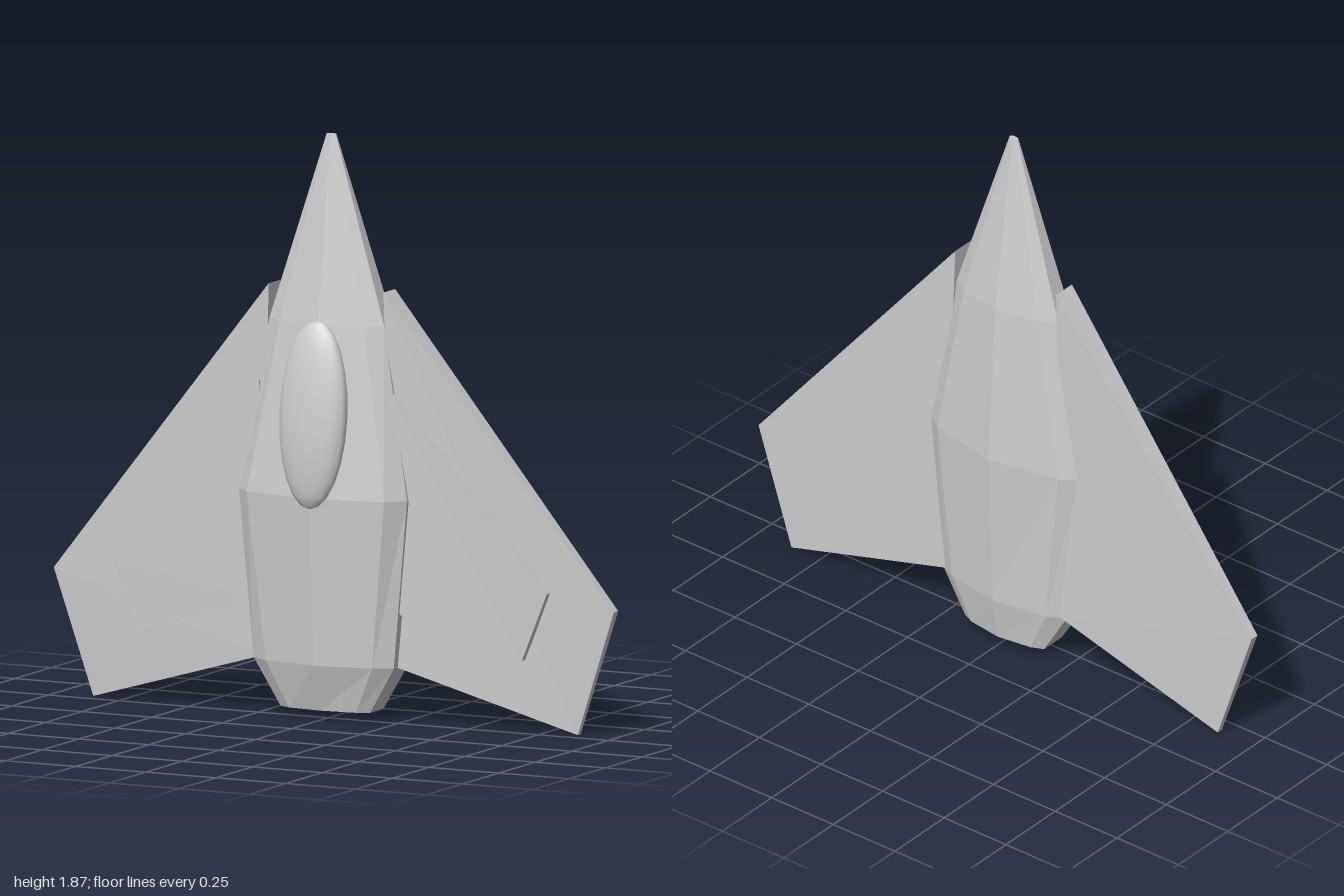
import * as THREE from 'three';

const material = () => new THREE.MeshStandardMaterial({ color: 0xcccccc, flatShading: true });

// Closed solid lofted through rings of [x, y, z] points (counter-clockwise seen from the end of the loft)
function loft(rings, name) {
  const pos = [];
  const tri = (a, b, c) => pos.push(...a, ...b, ...c);
  const n = rings[0].length;
  for (let r = 0; r < rings.length - 1; r++) {
    for (let i = 0; i < n; i++) {
      const j = (i + 1) % n;
      const a = rings[r][i], b = rings[r][j], c = rings[r + 1][j], d = rings[r + 1][i];
      tri(a, b, c);
      tri(a, c, d);
    }
  }
  const first = rings[0], last = rings[rings.length - 1];
  for (let i = 1; i < n - 1; i++) {
    tri(first[0], first[i + 1], first[i]);
    tri(last[0], last[i], last[i + 1]);
  }
  const geometry = new THREE.BufferGeometry();
  geometry.setAttribute('position', new THREE.Float32BufferAttribute(pos, 3));
  geometry.computeVertexNormals();
  const mesh = new THREE.Mesh(geometry, material());
  mesh.name = name;
  return mesh;
}

// Ten-sided hull section: half width, corner half width, then depths from front ridge to back ridge
function hullRing([y, w, c, front, frontCorner, frontSide, backSide, backCorner, back]) {
  const half = [[c, frontCorner], [w, frontSide], [w, backSide], [c, backCorner]];
  const outline = [
    [0, front], ...half,
    [0, back], ...half.slice().reverse().map(([x, z]) => [-x, z]),
  ];
  return outline.map(([x, z]) => [x, y, z]);
}

// Tapered slab from corners [x, y, back, front]; side = 1 for left, -1 for right
function slab(corners, side, name) {
  const order = side > 0 ? corners : corners.slice().reverse();
  return loft([
    order.map(([x, y, back]) => [side * x, y, back]),
    order.map(([x, y, , front]) => [side * x, y, front]),
  ], name);
}

export function createModel() {
  const group = new THREE.Group();
  group.name = 'spacecraft';

  // Hull, from tail to nose
  group.add(loft([
    [0.03, 0.16, 0.12, 0.053, 0.04, 0.02, -0.07, -0.088, -0.105],
    [0.18, 0.25, 0.19, 0.1, 0.065, 0.03, -0.07, -0.1, -0.13],
    [0.72, 0.3, 0.245, 0.13, 0.088, 0.037, -0.07, -0.105, -0.15],
    [1.27, 0.205, 0.15, 0.07, 0.045, 0.01, -0.055, -0.09, -0.12],
    [1.87, 0.016, 0.011, -0.015, -0.017, -0.02, -0.025, -0.028, -0.031],
  ].map(hullRing), 'hull'));

  // Canopy bubble, leaning back with the slope of the nose
  const canopyMaterial = material();
  canopyMaterial.flatShading = false;
  const canopy = new THREE.Mesh(new THREE.SphereGeometry(1, 18, 12), canopyMaterial);
  canopy.name = 'canopy';
  canopy.scale.set(0.12, 0.3, 0.05);
  canopy.position.set(0, 0.985, 0.102);
  canopy.rotation.x = -0.09;
  group.add(canopy);

  // Swept wings, each with a raised panel on the front face
  const wing = [
    [0.205, 1.38, -0.065, 0.015],
    [0.235, 0.183, -0.08, 0.005],
    [0.865, 0, -0.07, -0.05],
    [1, 0.405, -0.068, -0.038],
  ];
  const panel = [
    [0.23, 1.07, -0.03, 0.034],
    [0.24, 0.36, -0.03, 0.026],
    [0.685, 0.23, -0.05, -0.012],
    [0.775, 0.45, -0.05, -0.01],
  ];
  for (const [side, label] of [[1, 'left'], [-1, 'right']]) {
    group.add(slab(wing, side, label + 'Wing'), slab(panel, side, label + 'WingPanel'));
  }
  return group;
}
